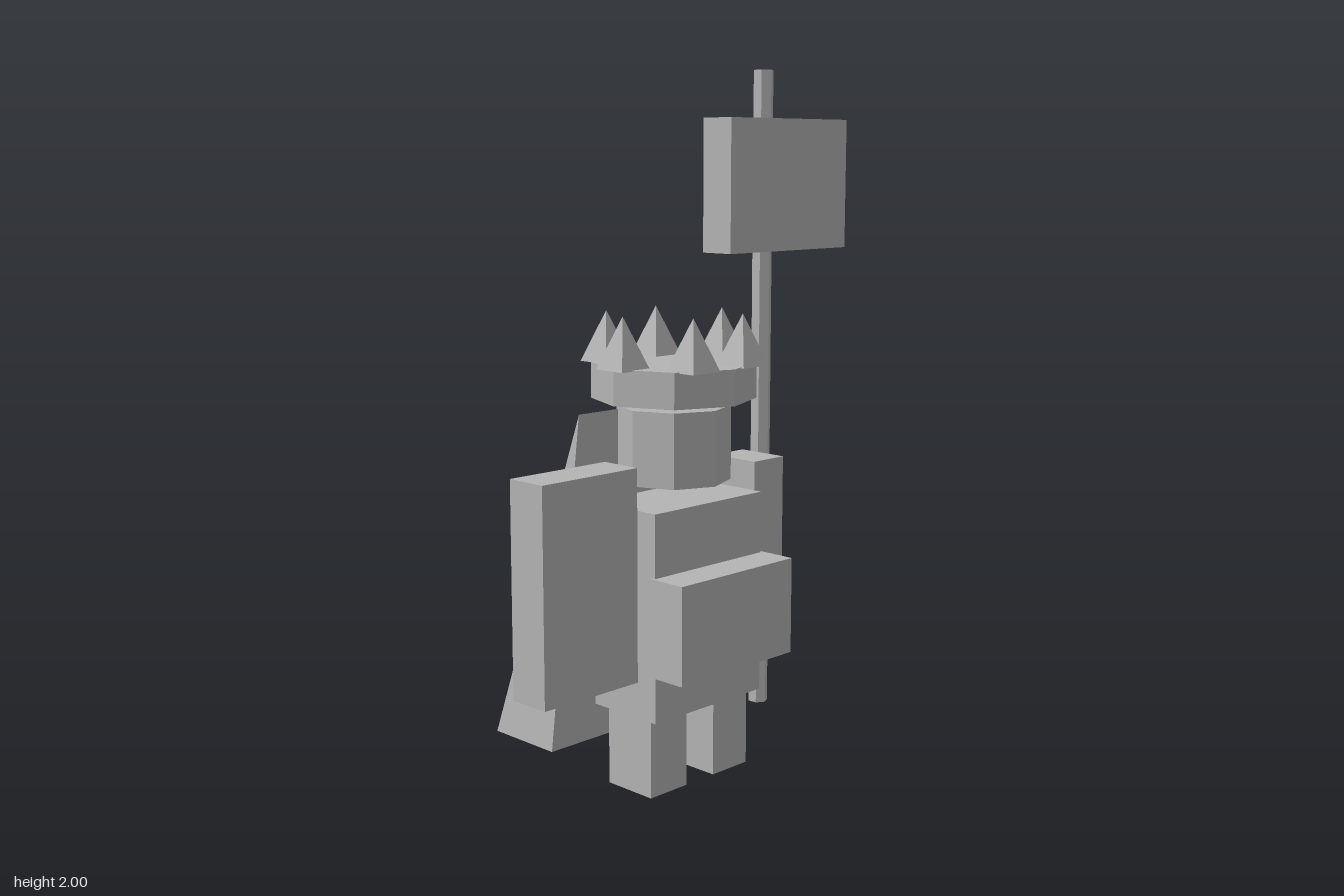
import * as THREE from 'three';

export function createModel() {
  const model = new THREE.Group();
  const stone = new THREE.MeshStandardMaterial({ color: 0xb4b4b4, flatShading: true });
  stone.name = 'plain grey';

  const add = (name, geometry, x = 0, y = 0, z = 0, parent = model) => {
    const mesh = new THREE.Mesh(geometry, stone);
    mesh.name = name;
    mesh.position.set(x, y, z);
    parent.add(mesh);
    return mesh;
  };
  // Box given by its extents on each axis
  const block = (name, [x0, x1], [y0, y1], [z0, z1]) =>
    add(name, new THREE.BoxGeometry(x1 - x0, y1 - y0, z1 - z0),
      (x0 + x1) / 2, (y0 + y1) / 2, (z0 + z1) / 2);

  const cx = -0.025, cz = 0.045; // axis of the figure

  // Body
  block('torso', [-0.237, 0.187], [0.228, 0.812], [-0.055, 0.185]);
  block('beard', [-0.245, 0.198], [0.36, 0.635], [0.172, 0.293]);
  for (const [side, s] of [['right', -1], ['left', 1]]) {
    const leg = cx + s * 0.125, arm = cx + s * 0.3125;
    block(side + 'Leg', [leg - 0.07, leg + 0.07], [0, 0.23], [-0.018, 0.15]);
    block(side + 'Arm', [arm - 0.0625, arm + 0.0625], [0.40, 0.885], [-0.035, 0.125]);
  }
  add('head', new THREE.CylinderGeometry(0.16, 0.16, 0.21, 8), cx, 0.965, cz);

  // Crown: octagonal band with six square spikes
  const crown = new THREE.Group();
  crown.name = 'crown';
  crown.position.set(cx, 1.14, cz);
  model.add(crown);
  add('crownBand', new THREE.CylinderGeometry(0.23, 0.23, 0.1, 8), 0, 0, 0, crown);
  const spike = new THREE.ConeGeometry(0.073, 0.143, 4).rotateY(Math.PI / 4);
  for (let i = 0; i < 6; i++) {
    const a = i * Math.PI / 3;
    add('crownSpike', spike, Math.cos(a) * 0.195, 0.1185, Math.sin(a) * 0.195, crown);
  }

  // Cape: box pinched to a sharp top edge and flared at the hem
  const cape = new THREE.BoxGeometry(1, 1, 1);
  const p = cape.attributes.position;
  for (let i = 0; i < p.count; i++) {
    const top = p.getY(i) > 0;
    p.setXYZ(i,
      p.getX(i) * (top ? 0.527 : 0.75),
      top ? 1.06 : 0.128,
      top || p.getZ(i) > 0 ? -0.057 : -0.295);
  }
  cape.computeVertexNormals();
  add('cape', cape, cx);

  // Shield and banner
  block('shield', [-0.655, -0.33], [0.375, 0.955], [0.09, 0.213]);
  add('bannerPole', new THREE.CylinderGeometry(0.03, 0.03, 1.905, 6), 0.401, 1.0475, -0.01);
  block('banner', [0.147, 0.653], [1.483, 1.86], [-0.008, 0.098]);

  return model;
}
